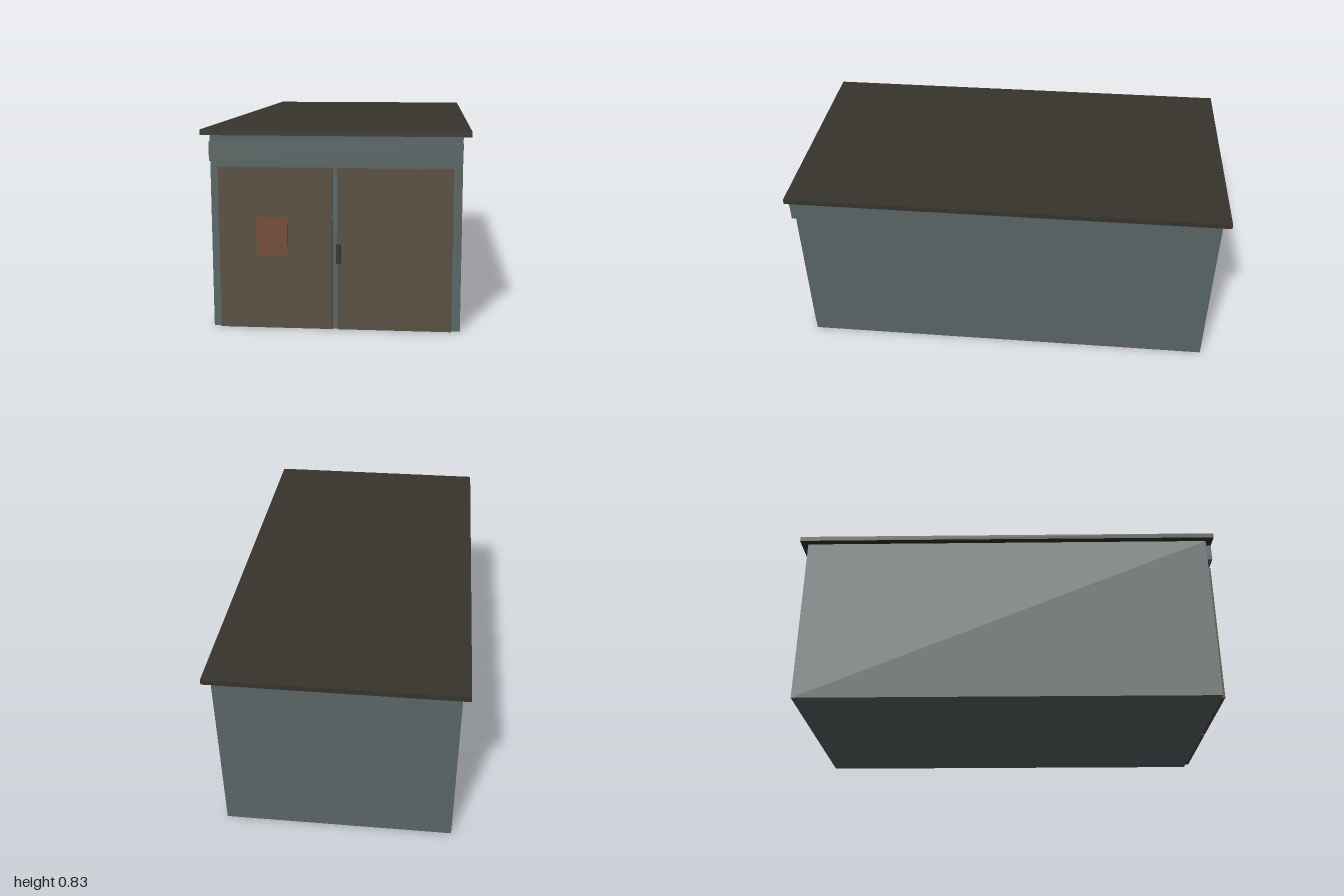
import * as THREE from 'three';

const material = (name, color) => {
  const m = new THREE.MeshStandardMaterial({ color });
  m.name = name;
  return m;
};

export function createModel() {
  const group = new THREE.Group();
  group.name = 'garage';

  const wall = material('grey green wall', 0x5b6666);
  const wood = material('brown door', 0x5a5041);
  const rust = material('rust patch', 0x754d37);
  const dark = material('dark roof', 0x36342c);

  // Box given by its lower and upper corners
  const box = (name, mat, [x0, y0, z0], [x1, y1, z1]) => {
    const mesh = new THREE.Mesh(new THREE.BoxGeometry(x1 - x0, y1 - y0, z1 - z0), mat);
    mesh.position.set((x0 + x1) / 2, (y0 + y1) / 2, (z0 + z1) / 2);
    mesh.name = name;
    group.add(mesh);
  };

  // Shell and overhanging flat roof
  box('walls', wall, [-0.516, 0, -0.967], [0.516, 0.81, 0.967]);
  box('roof', dark, [-0.548, 0.81, -1], [0.548, 0.833, 1]);

  // Lintel above the doors
  box('lintel', wall, [-0.516, 0.704, 0.96], [0.516, 0.783, 0.989]);

  // Pair of doors with a narrow gap
  box('rightDoor', wood, [-0.482, 0.002, 0.96], [-0.011, 0.678, 0.984]);
  box('leftDoor', wood, [0.009, 0.002, 0.96], [0.48, 0.678, 0.984]);

  // Rust patch and handle
  box('rustPatch', rust, [-0.324, 0.307, 0.983], [-0.197, 0.47, 0.991]);
  box('handle', dark, [0.005, 0.285, 0.98], [0.024, 0.364, 1]);

  return group;
}
